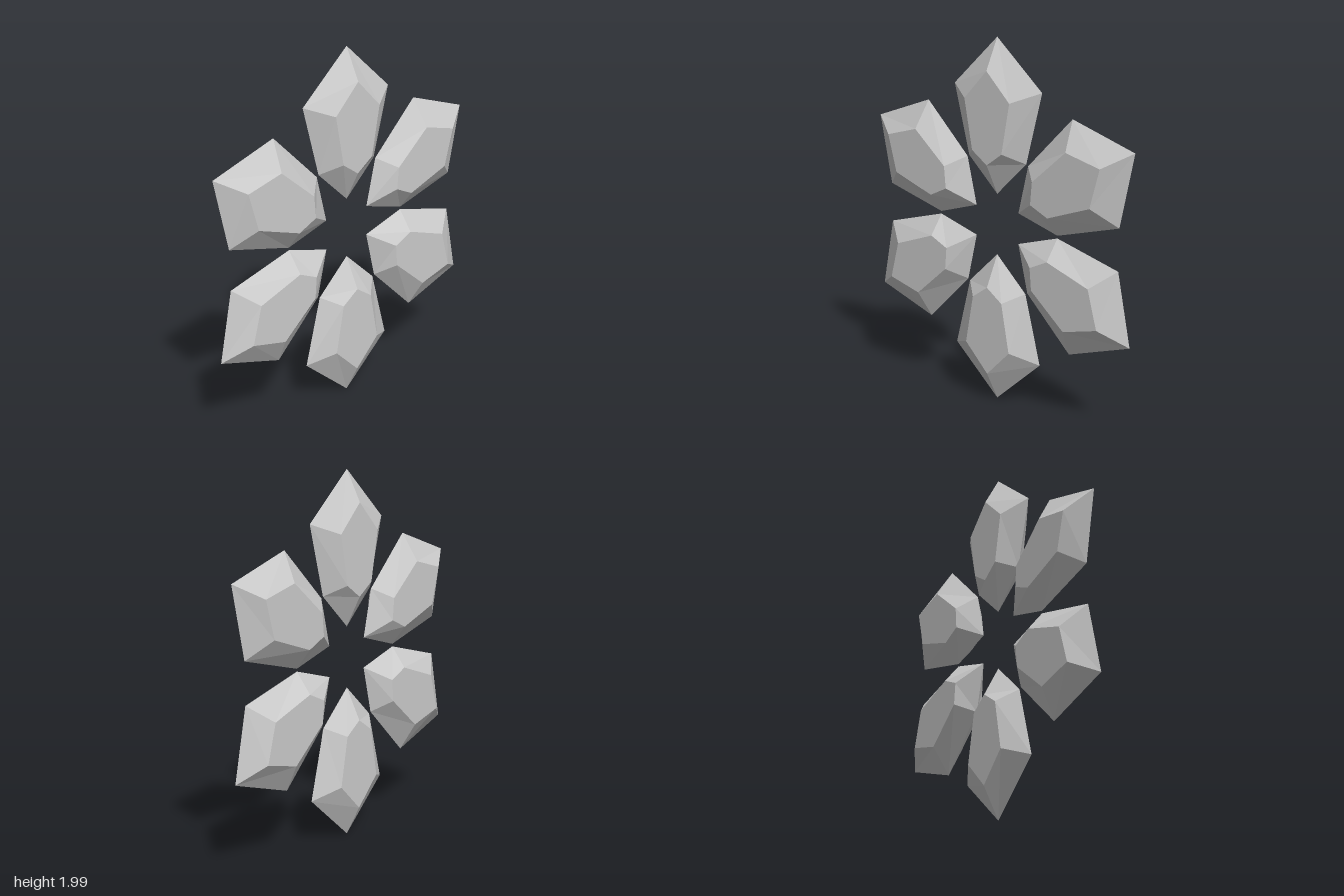
import * as THREE from 'three';

const CENTER_Y = 1.004, HALF_DEPTH = 0.087;

// Half profiles from outer tip to inner tip: [half width, distance from centre]
const RIM = [[0, 0.996], [0.295, 0.733], [0.195, 0.352], [0, 0.167]];
const TABLE = [[0, 0.828], [0.151, 0.675], [0.1, 0.405], [0, 0.335]];

// Mirror a half profile into a closed clockwise loop at depth z
function loop(half, z) {
  const left = half.slice(1, -1).reverse().map(([x, y]) => [-x, y]);
  return [...half, ...left].map(([x, y]) => [x, y, z]);
}

// Faceted crystal: sharp rim, sloped bevels and a flat table on each face
function crystalGeometry() {
  const positions = [];
  const rim = loop(RIM, 0);
  for (const side of [1, -1]) {
    const table = loop(TABLE, side * HALF_DEPTH);
    const tri = (a, b, c) => positions.push(...a, ...(side > 0 ? b : c), ...(side > 0 ? c : b));
    rim.forEach((r, i) => {
      const j = (i + 1) % rim.length;
      tri(r, table[i], table[j]);
      tri(r, table[j], rim[j]);
      if (i > 0 && j > 0) tri(table[0], table[j], table[i]);
    });
  }
  const geometry = new THREE.BufferGeometry();
  geometry.setAttribute('position', new THREE.Float32BufferAttribute(positions, 3));
  geometry.computeVertexNormals();
  return geometry;
}

export function createModel() {
  const group = new THREE.Group();
  group.name = 'crystalRing';
  const geometry = crystalGeometry();
  const material = new THREE.MeshStandardMaterial({ color: 0xcccccc, flatShading: true });

  // Six crystals radiating from the centre
  for (let i = 0; i < 6; i++) {
    const crystal = new THREE.Mesh(geometry, material);
    crystal.name = `crystal${i + 1}`;
    crystal.position.y = CENTER_Y;
    crystal.rotation.z = -i * Math.PI / 3;
    group.add(crystal);
  }
  return group;
}
